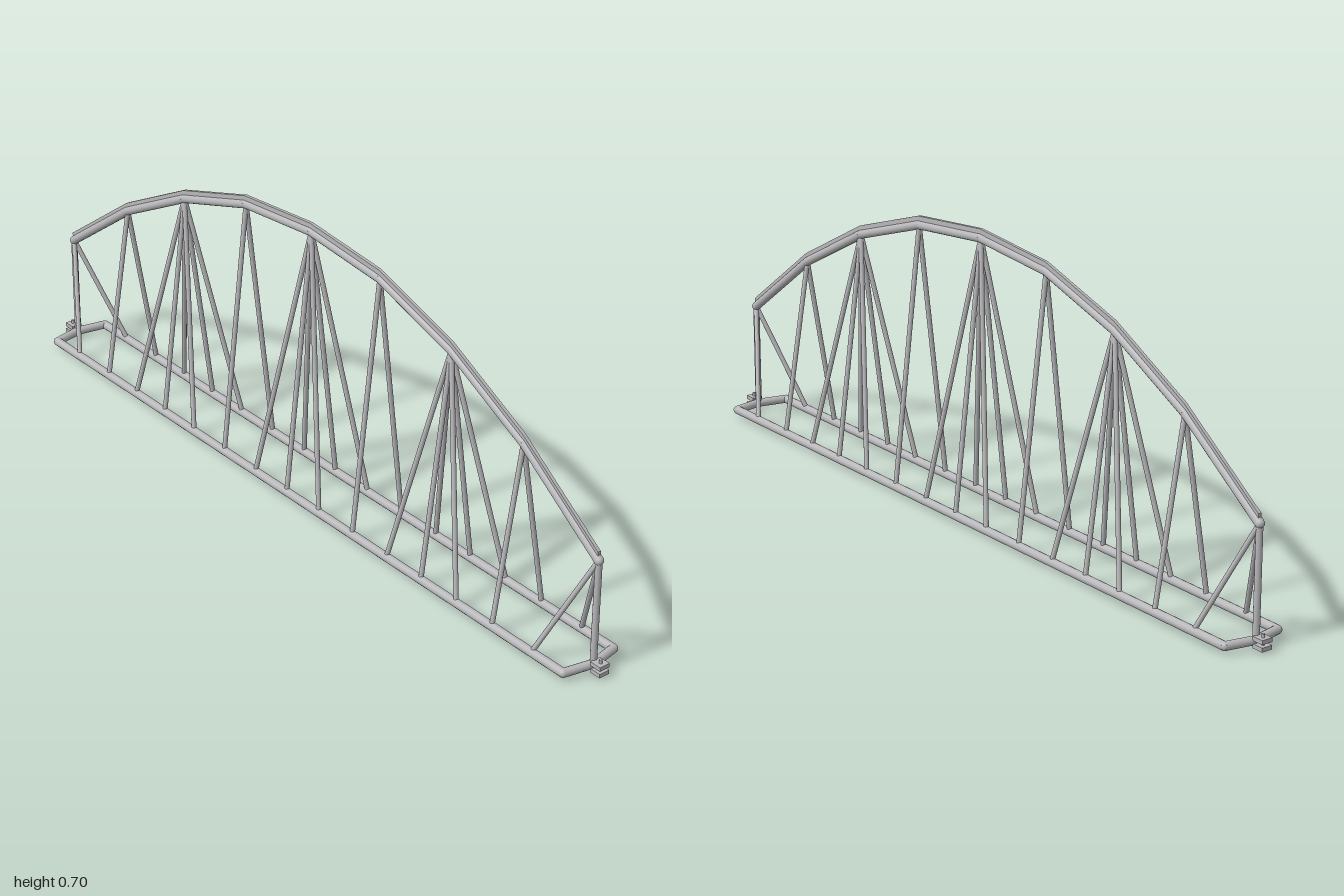
import * as THREE from 'three';

export function createModel() {
  const model = new THREE.Group();
  const steel = new THREE.MeshStandardMaterial({ color: 0xb8b8bb });
  steel.name = 'light grey steel';
  const V = (x, y, z) => new THREE.Vector3(x, y, z);
  const up = V(0, 1, 0);

  function add(parent, name, geometry, position) {
    const mesh = new THREE.Mesh(geometry, steel);
    mesh.name = name;
    mesh.position.copy(position);
    parent.add(mesh);
    return mesh;
  }

  // Round bar between two points
  function bar(parent, name, a, b, r) {
    const dir = b.clone().sub(a);
    const mesh = add(parent, name, new THREE.CylinderGeometry(r, r, dir.length(), 14), a.clone().lerp(b, 0.5));
    mesh.quaternion.setFromUnitVectors(up, dir.normalize());
  }

  // Bars joined by ball-shaped bends
  function pipe(parent, name, points, r, closed = false) {
    const n = points.length;
    for (let i = 0; i < (closed ? n : n - 1); i++) bar(parent, name, points[i], points[(i + 1) % n], r);
    for (const p of points) add(parent, name + 'Joint', new THREE.SphereGeometry(r, 14, 10), p);
  }

  const group = (name) => {
    const g = new THREE.Group();
    g.name = name;
    model.add(g);
    return g;
  };

  const baseY = 0.018, baseZ = 0.074, endX = 0.965;
  const heights = [[0, 0.677], [0.242, 0.655], [0.484, 0.578], [0.722, 0.455], [endX, 0.28]];
  const arch = [
    ...heights.slice(1).reverse().map(([x, y]) => V(-x, y, 0)),
    ...heights.map(([x, y]) => V(x, y, 0)),
  ];

  // Arched top chord with a narrow ridge along it
  const chord = group('topChord');
  pipe(chord, 'archTube', arch, 0.011);
  const outline = new THREE.Shape();
  arch.forEach((p, i) => (i ? outline.lineTo(p.x, p.y) : outline.moveTo(p.x, p.y)));
  [...arch].reverse().forEach((p) => outline.lineTo(p.x, p.y + 0.022));
  add(chord, 'archRidge', new THREE.ExtrudeGeometry(outline, { depth: 0.008, bevelEnabled: false }), V(0, 0, -0.004));

  // Bottom frame: two long tubes and slightly bowed ends
  const frame = [];
  for (const s of [1, -1]) {
    frame.push(V(s * 0.95, baseY, s * baseZ), V(s * endX, baseY, 0), V(s * 0.95, baseY, -s * baseZ));
  }
  pipe(group('bottomFrame'), 'frameTube', frame, 0.0105, true);

  // Upright pairs leaning from the arch to both long tubes
  const struts = group('struts');
  for (const p of arch.slice(1, -1)) {
    for (const s of [-1, 1]) bar(struts, 'uprightStrut', p, V(p.x, baseY, s * baseZ), 0.006);
  }

  // Fans of diagonals at the main nodes
  for (const i of [2, 4, 6]) {
    for (const d of [-0.12, 0.12]) {
      for (const s of [-1, 1]) {
        bar(struts, 'diagonalStrut', arch[i], V(arch[i].x + d, baseY, s * baseZ), 0.006);
      }
    }
  }

  // End posts, end diagonals and pinned coupling lugs
  for (const s of [-1, 1]) {
    const end = group(s > 0 ? 'leftEnd' : 'rightEnd');
    const top = V(s * endX, 0.28, 0);
    bar(end, 'endPost', top, V(s * endX, baseY, 0), 0.008);
    for (const t of [-1, 1]) bar(end, 'endDiagonal', top, V(s * 0.85, baseY, t * baseZ), 0.006);
    for (const y of [0.01, 0.027]) {
      add(end, 'couplingLug', new THREE.BoxGeometry(0.03, 0.01, 0.028), V(s * 0.985, y, 0));
    }
    bar(end, 'couplingPin', V(s * 0.987, 0, 0), V(s * 0.987, 0.04, 0), 0.004);
  }
  return model;
}
